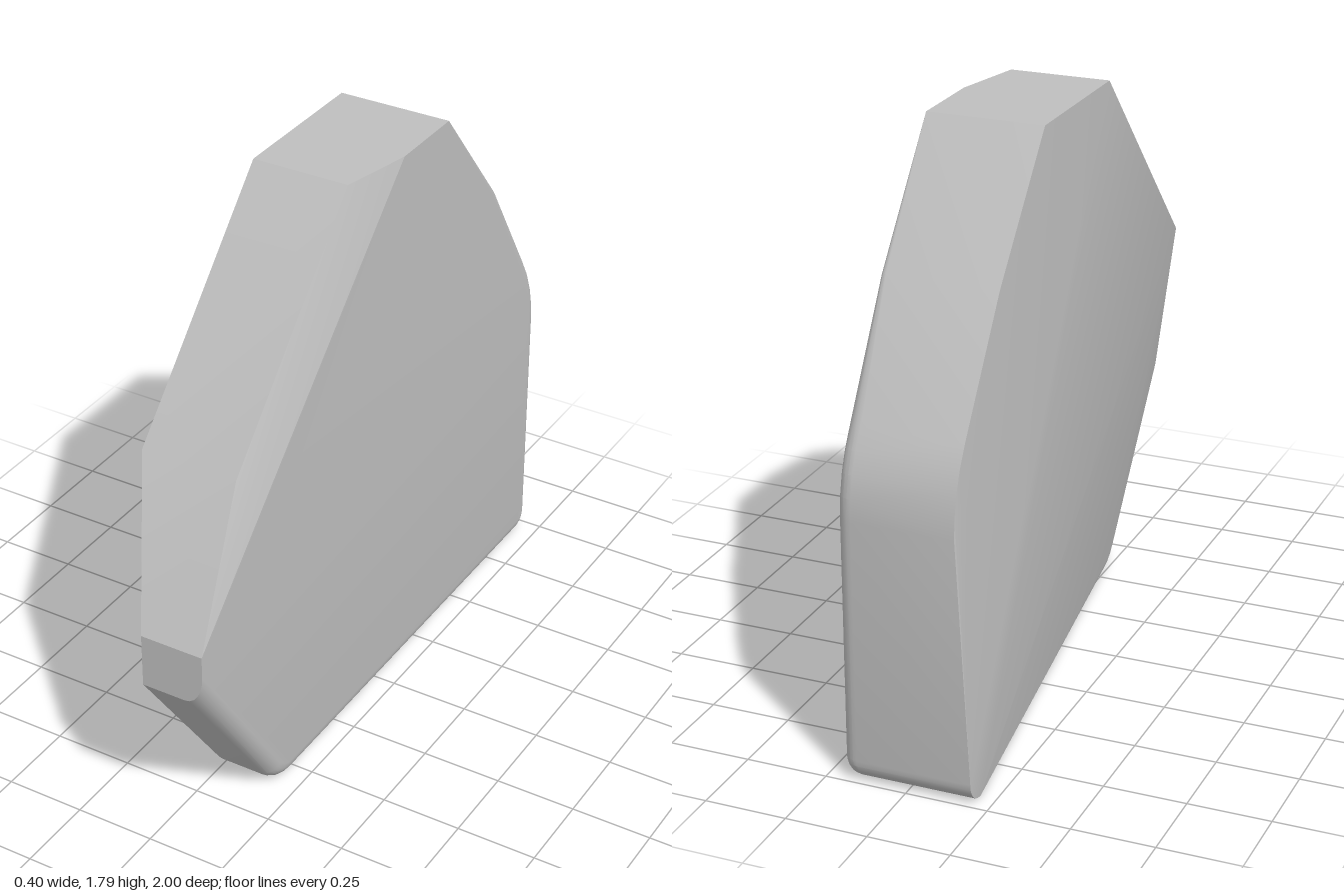
import * as THREE from 'three';
import { ConvexGeometry } from 'three/addons/geometries/ConvexGeometry.js';
import { toCreasedNormals } from 'three/addons/utils/BufferGeometryUtils.js';

const SIDE = 0.2; // x of the flat left face
const V = (x, y, z) => new THREE.Vector3(x, y, z);

// Rounded outline corner in the z/y plane: points with their inward normals
function roundCorner(prev, corner, next, radius, steps) {
  const [a, c, b] = [prev, corner, next].map(([z, y]) => new THREE.Vector2(z, y));
  const da = a.sub(c).normalize(), db = b.sub(c).normalize();
  const half = Math.acos(da.dot(db)) / 2;
  const bis = da.clone().add(db).normalize();
  const centre = c.clone().addScaledVector(bis, radius / Math.sin(half));
  const sweep = Math.PI - 2 * half;
  const result = [];
  for (let i = 0; i <= steps; i++) {
    const out = bis.clone().negate().rotateAround(new THREE.Vector2(), sweep * (i / steps - 0.5));
    result.push({ p: centre.clone().addScaledVector(out, radius), n: out.negate() });
  }
  return result;
}

// Quarter-round from the rim to the left face
function fillet(points, { p, n }, r, steps = 6) {
  for (let i = 0; i <= steps; i++) {
    const t = (i / steps) * Math.PI / 2;
    const q = p.clone().addScaledVector(n, r * (1 - Math.cos(t)));
    points.push(V(SIDE - r * (1 - Math.sin(t)), q.y, q.x));
  }
}

function slabPoints() {
  const points = [
    // flat top
    V(-0.16, 1.795, 0.13), V(0.15, 1.795, 0.13), V(SIDE, 1.795, -0.1),
    V(SIDE, 1.795, -0.36), V(-0.16, 1.795, -0.36),
    // bend of the front slope
    V(-0.16, 1.155, 0.73), V(0.15, 1.155, 0.73),
    // front tip
    V(0, 0.74, 1), V(SIDE, 0.74, 1), V(0, 0.57, 1),
    // bend of the back slope
    V(-0.16, 1.42, -0.68),
  ];
  // rounded lower corner of the front tip
  for (let i = 0; i <= 6; i++) {
    const t = (i / 6) * Math.PI / 2;
    points.push(V(0.14 + 0.06 * Math.sin(t), 0.57 + 0.1 * (1 - Math.cos(t)), 1));
  }
  fillet(points, { p: new THREE.Vector2(-0.68, 1.42), n: new THREE.Vector2(0.8, -0.6) }, 0.02);

  // rounded rim corners, with the x of their edge on the right face
  const tip = [1, 0.57], heel = [0.6, 0], tail = [-1, 0], shoulder = [-1, 0.95], bend = [-0.68, 1.42];
  const corners = [
    { x: 0.01, arc: roundCorner(tip, heel, tail, 0.13, 4) },
    { x: -0.2, arc: roundCorner(heel, tail, shoulder, 0.07, 6) },
    { x: -0.16, arc: roundCorner(tail, shoulder, bend, 0.45, 4) },
  ];
  for (const { x, arc } of corners) {
    for (const rim of arc) {
      points.push(V(x, rim.p.y, rim.p.x));
      fillet(points, rim, 0.05);
    }
  }
  return points;
}

export function createModel() {
  const stone = new THREE.MeshStandardMaterial({ color: 0xbfbfbf });
  stone.name = 'light grey';
  const slab = new THREE.Mesh(toCreasedNormals(new ConvexGeometry(slabPoints()), 0.28), stone);
  slab.name = 'slab';
  const group = new THREE.Group();
  group.name = 'facetedSlab';
  group.add(slab);
  return group;
}
